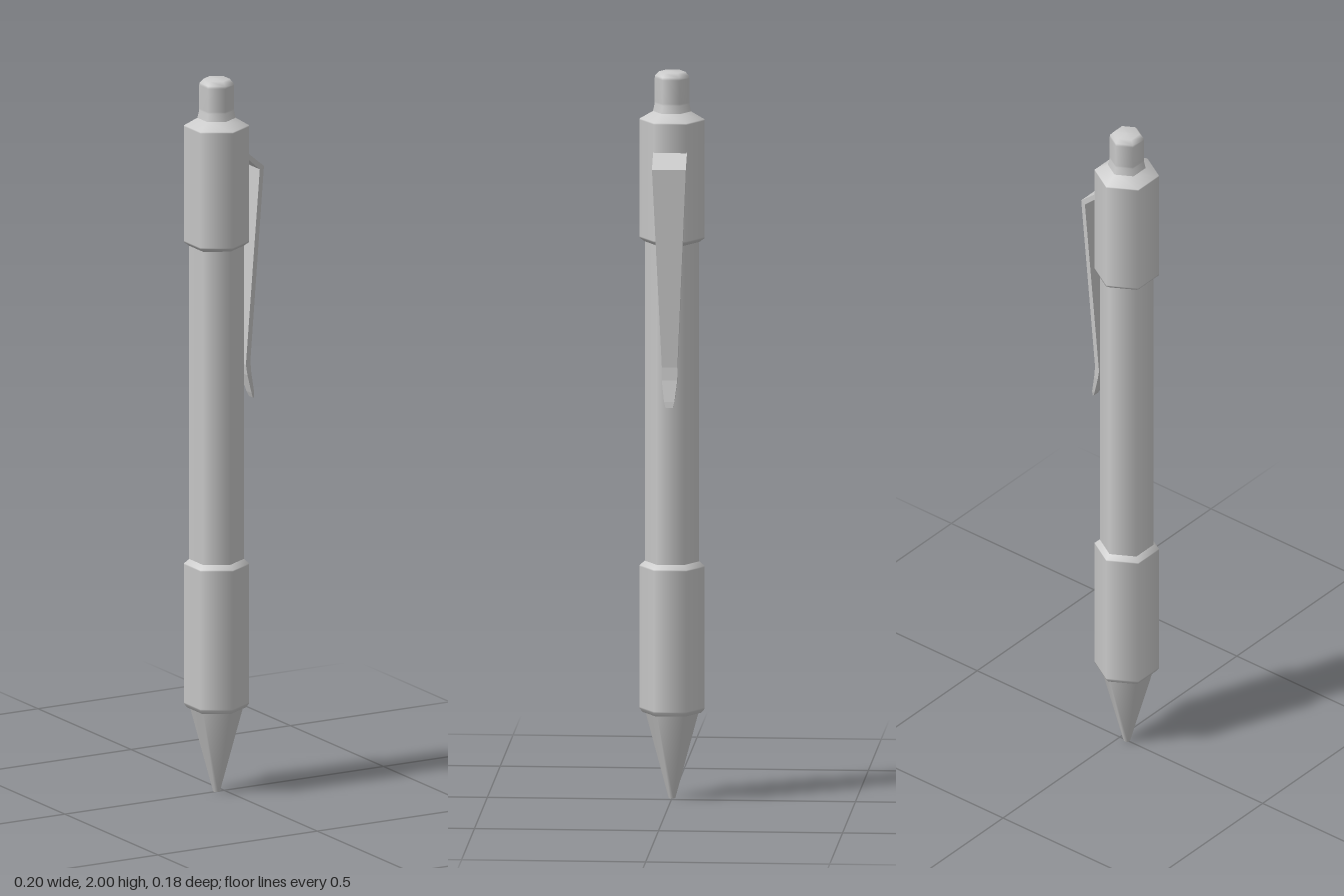
import * as THREE from 'three';

const material = new THREE.MeshStandardMaterial({ color: 0xcccccc, side: THREE.DoubleSide });
const AXIS_X = -0.024;

// Six-sided turned part; a profile is [radius, height] from bottom to top.
function turned(name, profile) {
  const points = profile.map(([r, y]) => new THREE.Vector2(r, y));
  const mesh = new THREE.Mesh(new THREE.LatheGeometry(points, 6), material);
  mesh.name = name;
  mesh.position.x = AXIS_X;
  return mesh;
}

// Sleeve with small chamfers; tight rings keep the long wall evenly shaded.
function sleeve(name, radius, bottom, top, innerBottom, innerTop, chamferBottom, chamferTop) {
  return turned(name, [
    [innerBottom, bottom],
    [radius, bottom + chamferBottom],
    [radius, bottom + chamferBottom + 0.004],
    [radius, top - chamferTop - 0.004],
    [radius, top - chamferTop],
    [innerTop, top],
  ]);
}

// Bent, tapering strip made from rectangular cross-sections.
function clip() {
  // outer x, outer y, inner x, inner y, half width
  const sections = [
    [0.035, 1.801, 0.035, 1.785, 0.046],
    [0.098, 1.748, 0.085, 1.74, 0.046],
    [0.070, 1.2, 0.056, 1.19, 0.021],
    [0.073, 1.165, 0.061, 1.16, 0.021],
    [0.086, 1.108, 0.078, 1.106, 0.014],
    [0.088, 1.092, 0.084, 1.092, 0.01],
  ];
  const rings = sections.map(([xo, yo, xi, yi, w]) => [
    [xo, yo, w], [xo, yo, -w], [xi, yi, -w], [xi, yi, w],
  ]);
  const positions = [];
  const quad = (a, b, c, d) => positions.push(...a, ...b, ...c, ...a, ...c, ...d);
  for (let i = 0; i < rings.length - 1; i++) {
    for (let j = 0; j < 4; j++) {
      const k = (j + 1) % 4;
      quad(rings[i][j], rings[i + 1][j], rings[i + 1][k], rings[i][k]);
    }
  }
  quad(...rings[0]);
  quad(...rings[rings.length - 1].slice().reverse());
  const geometry = new THREE.BufferGeometry();
  geometry.setAttribute('position', new THREE.Float32BufferAttribute(positions, 3));
  geometry.computeVertexNormals();
  const mesh = new THREE.Mesh(geometry, material);
  mesh.name = 'pocketClip';
  return mesh;
}

export function createModel() {
  const pen = new THREE.Group();
  pen.name = 'pen';
  pen.add(
    // Writing tip, with its flat collar under the grip
    turned('tip', [[0, 0], [0.009, 0], [0.072, 0.236], [0.08, 0.236]]),
    // Grip, barrel and upper cap
    sleeve('grip', 0.088, 0.236, 0.652, 0.08, 0.074, 0.01, 0.012),
    turned('barrel', [[0.074, 0.63], [0.074, 1.56]]),
    sleeve('cap', 0.088, 1.53, 1.89, 0.074, 0.05, 0.01, 0.022),
    // Push button, flared at its foot and rounded at the top
    turned('pushButton', [
      [0.054, 1.88], [0.047, 1.91], [0.047, 1.915], [0.047, 1.98],
      [0.046, 1.987], [0.036, 1.998], [0, 2],
    ]),
    clip(),
  );
  return pen;
}
